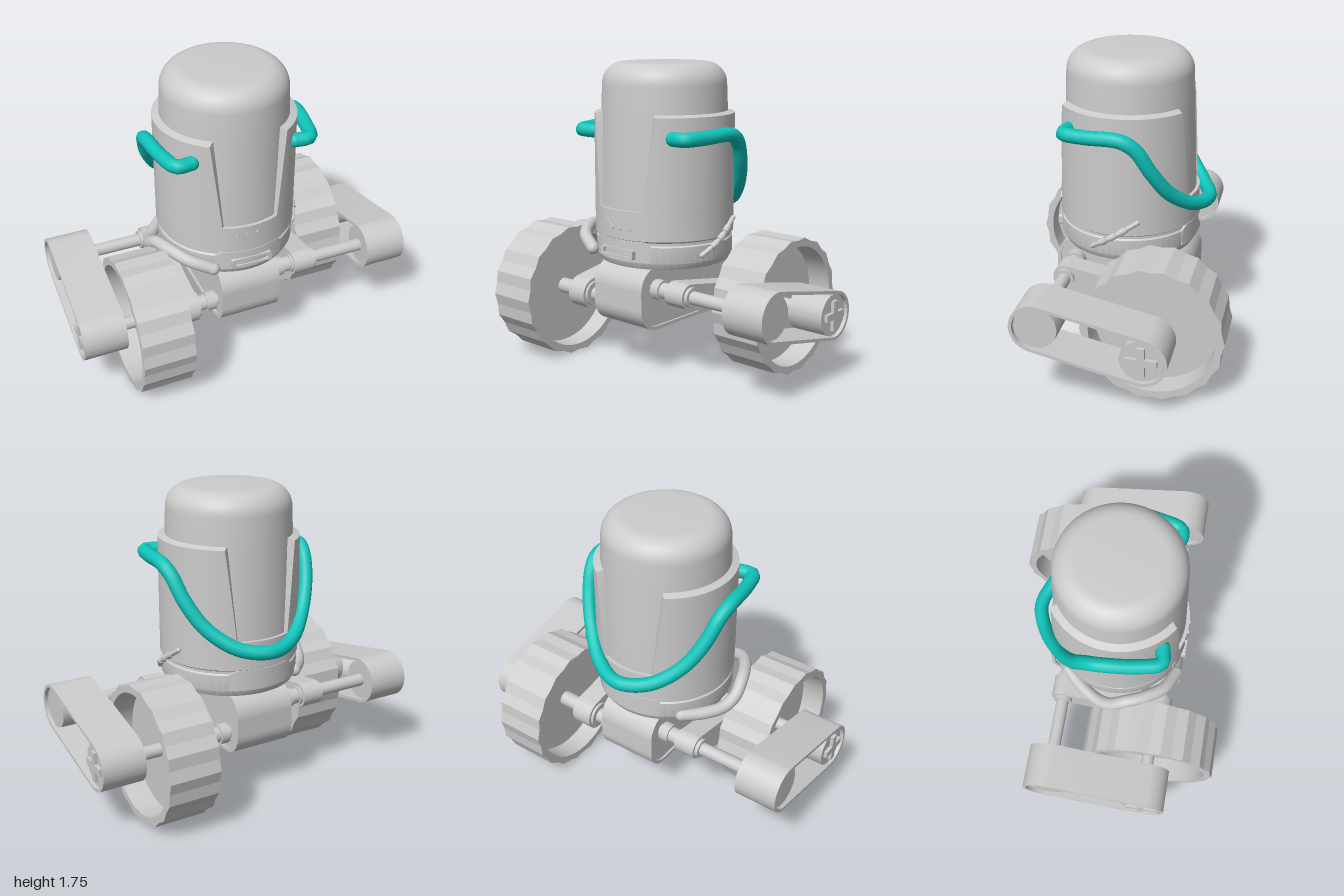
import * as THREE from 'three';
import { toCreasedNormals } from 'three/addons/utils/BufferGeometryUtils.js';

const grey = new THREE.MeshStandardMaterial({ color: 0xcccccc });
const teal = new THREE.MeshStandardMaterial({ color: 0x0fc4bb });
const V = (x, y, z) => new THREE.Vector3(x, y, z);

function add(parent, name, geo, mat = grey) {
  const m = new THREE.Mesh(geo, mat);
  m.name = name;
  parent.add(m);
  return m;
}

// Cylinder lying along x from x0 to x1
function rod(parent, name, r, x0, x1, y, z, sides = 24) {
  const g = new THREE.CylinderGeometry(r, r, x1 - x0, sides).rotateZ(Math.PI / 2);
  return add(parent, name, g.translate((x0 + x1) / 2, y, z));
}

// Side profile (drawn as -z, y) extruded along x
function slab(shape, x0, x1, crease = 0.5) {
  const g = new THREE.ExtrudeGeometry(shape, { depth: x1 - x0, bevelEnabled: false, curveSegments: 24 });
  return toCreasedNormals(g.rotateY(Math.PI / 2).translate(x0, 0, 0), crease);
}

// Outline wrapped round two circles {z, y, r}
function wrap(a, b, inset = 0, Type = THREE.Shape) {
  const dx = a.z - b.z, dy = b.y - a.y;
  const t = Math.atan2(dy, dx), p = Math.acos((a.r - b.r) / Math.hypot(dx, dy));
  const s = new Type();
  s.absarc(-a.z, a.y, a.r - inset, t + p, t - p + Math.PI * 2, false);
  s.absarc(-b.z, b.y, b.r - inset, t - p, t + p, false);
  s.closePath();
  return s;
}

// Block bent round the body; half(y) is its half angle about mid (0 = front)
function bent(mid, half, y0, y1, r0, r1, bevel) {
  const g = new THREE.BoxGeometry(2, 1, 1, 36, 8, 1), p = g.attributes.position;
  for (let i = 0; i < p.count; i++) {
    const u = p.getX(i), v = p.getY(i) + 0.5, outer = p.getZ(i) > 0;
    let y = y0 + (y1 - y0) * v, a = u * half(y);
    const r = outer ? r1 : r0;
    if (outer && Math.abs(u) > 0.999) a -= Math.sign(u) * bevel / r1;
    if (outer && v > 0.999) y -= bevel;
    p.setXYZ(i, r * Math.sin(mid + a), y, r * Math.cos(mid + a));
  }
  return toCreasedNormals(g, 0.5);
}

// Round bar along a smooth path with domed ends
function tube(parent, name, pts, r, mat = grey) {
  const curve = new THREE.CatmullRomCurve3(pts, false, 'centripetal');
  add(parent, name, new THREE.TubeGeometry(curve, 90, r, 14, false), mat);
  for (const end of [pts[0], pts[pts.length - 1]])
    add(parent, name + 'End', new THREE.SphereGeometry(r, 14, 10).translate(end.x, end.y, end.z), mat);
}

// Wheel, belt drive and linkage of the left side
function driveSide() {
  const g = new THREE.Group();
  const front = { z: 0.28, y: 0.51 }, rear = { z: -0.28, y: 0.39 };

  // Scalloped tyre with a thin disc set deep inside
  const tyre = new THREE.Shape(), n = 18;
  for (let i = 0; i < n * 2; i++) {
    const a = (i / n) * Math.PI, r = i % 2 ? 0.381 : 0.394;
    tyre[i ? 'lineTo' : 'moveTo'](-rear.z + r * Math.cos(a), rear.y + r * Math.sin(a));
  }
  tyre.closePath();
  tyre.holes.push(new THREE.Path().absarc(-rear.z, rear.y, 0.345, 0, Math.PI * 2, false));
  add(g, 'wheelTyre', slab(tyre, 0.445, 0.742, 0.2));
  rod(g, 'wheelDisc', 0.347, 0.57, 0.605, rear.y, rear.z, 48);

  // Hollow belt round two pulleys
  const a = { ...front, r: 0.138 }, b = { ...rear, r: 0.138 };
  const belt = wrap(a, b);
  belt.holes.push(wrap(a, b, 0.018, THREE.Path));
  add(g, 'driveBelt', slab(belt, 0.75, 1));
  rod(g, 'frontPulley', 0.119, 0.765, 0.98, front.y, front.z, 14);
  rod(g, 'rearPulley', 0.119, 0.765, 0.98, rear.y, rear.z, 14);
  for (const [h, d] of [[0.17, 0.04], [0.04, 0.17]])
    add(g, 'pulleyCross', new THREE.BoxGeometry(0.03, h, d).translate(0.985, rear.y, rear.z));

  // Axles with stepped collars
  for (const e of [front, rear]) {
    rod(g, 'axle', 0.037, 0.15, 0.77, e.y, e.z);
    rod(g, 'axleNut', 0.058, 0.185, 0.24, e.y, e.z, 12);
    rod(g, 'axleCollar', 0.045, 0.24, 0.31, e.y, e.z);
  }
  rod(g, 'wheelHub', 0.045, 0.42, 0.58, rear.y, rear.z);

  // Link arm joining the two axles
  add(g, 'linkArm', slab(wrap({ ...front, r: 0.07 }, { ...rear, r: 0.092 }), 0.305, 0.43));
  rod(g, 'linkBoss', 0.055, 0.29, 0.45, front.y, front.z);
  rod(g, 'linkBoss', 0.075, 0.29, 0.445, rear.y, rear.z);
  return g;
}

function roundedRect(w, y0, y1, r, Type = THREE.Shape) {
  const s = new Type();
  s.absarc(w - r, y0 + r, r, -Math.PI / 2, 0, false);
  s.absarc(w - r, y1 - r, r, 0, Math.PI / 2, false);
  s.absarc(-w + r, y1 - r, r, Math.PI / 2, Math.PI, false);
  s.absarc(-w + r, y0 + r, r, Math.PI, Math.PI * 1.5, false);
  s.closePath();
  return s;
}

export function createModel() {
  const model = new THREE.Group();

  // Drive units, the right one turned half round
  for (const side of [0, 1]) {
    const unit = driveSide();
    unit.name = side ? 'rightDrive' : 'leftDrive';
    unit.rotation.y = side * Math.PI;
    model.add(unit);
  }

  // Central gearbox with a thin raised edge
  const casing = roundedRect(0.4, 0.27, 0.635, 0.13);
  casing.holes.push(roundedRect(0.38, 0.29, 0.615, 0.11, THREE.Path));
  add(model, 'gearboxCasing', slab(casing, -0.18, 0.18));
  add(model, 'gearboxCore', slab(roundedRect(0.382, 0.288, 0.617, 0.112), -0.168, 0.168));

  // Domed inner canister, wider towards its foot
  const prof = [[0, 0.66], [0.382, 0.66], [0.38, 0.95], [0.361, 1.46], [0.354, 1.625]];
  for (let i = 1; i <= 10; i++) {
    const t = (i / 10) * Math.PI / 2;
    prof.push([0.234 + 0.12 * Math.cos(t), 1.625 + 0.122 * Math.sin(t)]);
  }
  prof.push([0, 1.747]);
  const lathe = (pts) => toCreasedNormals(
    new THREE.LatheGeometry(pts.map(([x, y]) => new THREE.Vector2(x, y)), 64), 0.5);
  add(model, 'canister', lathe(prof));

  // Lower base and shell ring, divided by a groove
  add(model, 'baseRing', lathe([[0, 0.63], [0.375, 0.63], [0.394, 0.665], [0.394, 0.757],
    [0.386, 0.765], [0.386, 0.78], [0.4, 0.79], [0.4, 0.95], [0.355, 0.95]]));

  // Two side panels leaving tapered openings at front and back
  const cut = (y) => Math.asin((0.15 + 0.06 * (y - 0.95) / 0.53) / 0.4);
  for (const s of [-1, 1])
    add(model, 'sidePanel', bent(s * Math.PI / 2, (y) => Math.PI / 2 - cut(y), 0.948, 1.48, 0.35, 0.4, 0.015));

  // Stepped tabs at front and back
  for (const mid of [0, Math.PI])
    add(model, 'baseTab', bent(mid, (y) => 0.54 - Math.max(0, y - 0.76) * 3.5, 0.67, 0.79, 0.37, 0.399, 0.004));

  // Front slot frame and slanted vents, following the curve of the body
  const slot = roundedRect(0.12, 0.685, 0.74, 0.01);
  slot.holes.push(roundedRect(0.1, 0.697, 0.728, 0.008, THREE.Path));
  add(model, 'frontSlot', new THREE.ExtrudeGeometry(slot, { depth: 0.04, bevelEnabled: false }).translate(0, 0, 0.366));
  for (const x of [-0.06, 0, 0.06]) {
    const vent = new THREE.BoxGeometry(0.09, 0.016, 0.02).rotateZ(-0.8);
    add(model, 'ventBar', vent.translate(0, 0.876, 0.396).rotateY(x / 0.4));
  }

  // Teal carrying handle, mirrored about the middle
  const half = [[0.3, 1.355, 0.275], [0.385, 1.357, 0.28], [0.425, 1.36, 0.16], [0.447, 1.36, -0.05],
    [0.432, 1.31, -0.125], [0.395, 1.18, -0.2], [0.31, 1.03, -0.29], [0.17, 0.925, -0.4]].map((p) => V(...p));
  const other = half.map((p) => V(-p.x, p.y, p.z)).reverse();
  tube(model, 'handle', [...half, V(0, 0.9, -0.463), ...other], 0.04, teal);

  // Hose round the right of the base
  tube(model, 'hose', [V(-0.29, 0.665, -0.26), V(-0.385, 0.66, -0.16), V(-0.45, 0.67, -0.06), V(-0.472, 0.71, 0.02),
    V(-0.46, 0.765, 0.1), V(-0.42, 0.772, 0.2), V(-0.34, 0.745, 0.31), V(-0.22, 0.695, 0.37)], 0.036);

  // Jointed cable on the left of the base
  const cable = [V(0.385, 0.705, 0.13), V(0.415, 0.755, 0.06), V(0.42, 0.8, -0.01), V(0.4, 0.88, -0.13)];
  tube(model, 'cable', cable, 0.014);
  const path = new THREE.CatmullRomCurve3(cable, false, 'centripetal');
  for (const t of [0.3, 0.5, 0.7]) {
    const joint = add(model, 'cableJoint', new THREE.CylinderGeometry(0.019, 0.019, 0.045, 12));
    joint.position.copy(path.getPointAt(t));
    joint.quaternion.setFromUnitVectors(V(0, 1, 0), path.getTangentAt(t));
  }
  return model;
}
